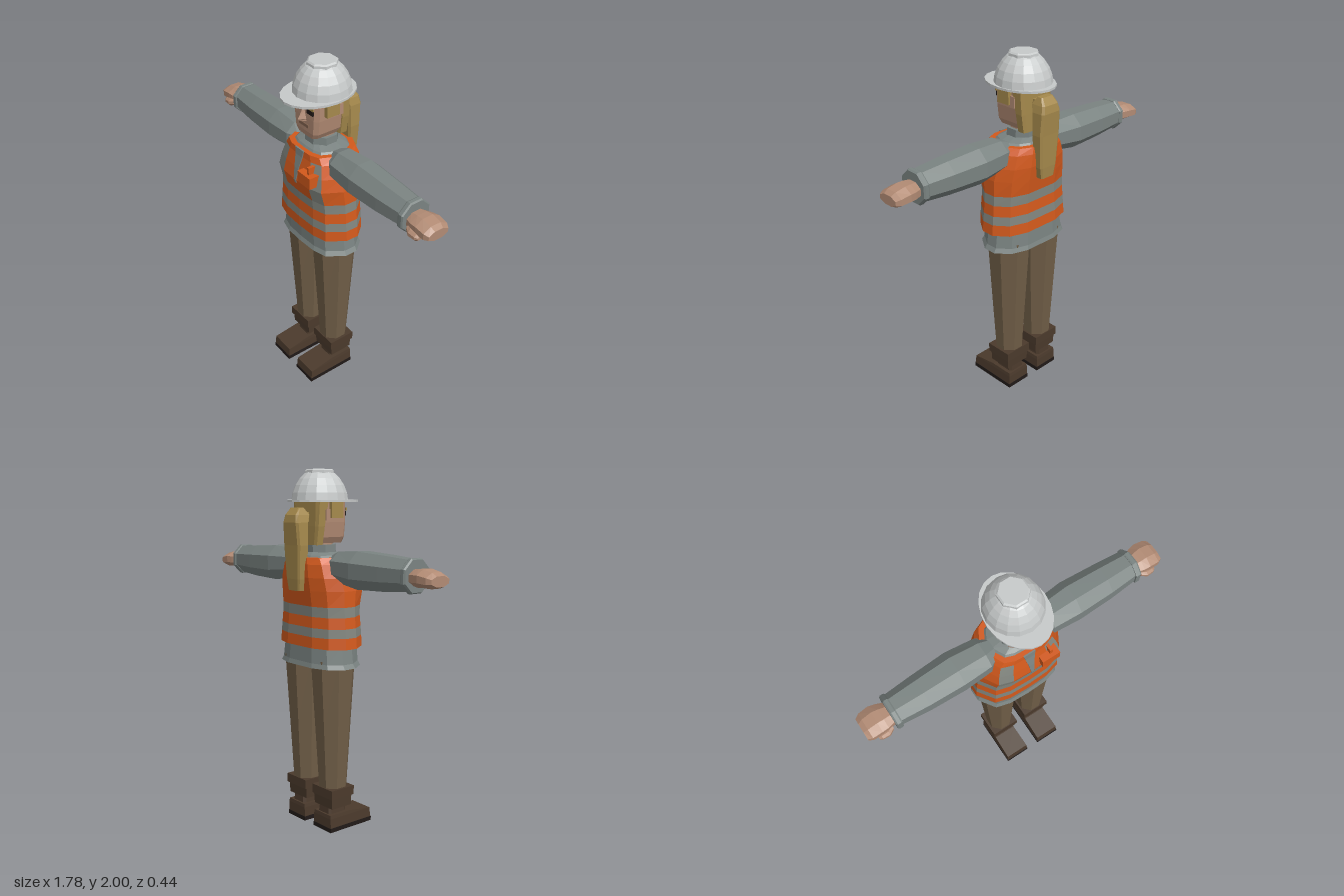
import * as THREE from 'three';

const mat = (name, color) => {
  const m = new THREE.MeshStandardMaterial({ color, flatShading: true });
  m.name = name;
  return m;
};
const M = {
  orange: mat('vest orange', 0xd2591c),
  tape: mat('reflective tape', 0x82867f),
  shirt: mat('shirt grey', 0x7a8381),
  pants: mat('trouser brown', 0x705e47),
  boot: mat('boot brown', 0x4b3a2c),
  dark: mat('near black', 0x211a18),
  hair: mat('blonde', 0xa5894c),
  skin: mat('skin', 0xb28b74),
  mouth: mat('lip brown', 0x836450),
  hat: mat('hat white', 0xc6c9c9),
};

// Closed cross-sections: front centre first, then towards +x, back and -x
const mirrorHalf = (half) =>
  [...half, ...half.slice(1, -1).reverse().map(([u, v]) => [-u, v])];
const circle = (n, turn = 0) => Array.from({ length: n }, (_, i) => {
  const a = (i + turn) / n * Math.PI * 2;
  return [Math.sin(a), Math.cos(a)];
});
const OCT = circle(8, 0.5).map(([u, v]) => [u / Math.cos(Math.PI / 8), v / Math.cos(Math.PI / 8)]);
const BOXY = mirrorHalf([[0, 1], [0.8, 0.98], [1, 0.75], [1, -0.75], [0.8, -1], [0, -1]]);
const SQUARE = [[-1, 1], [1, 1], [1, -1], [-1, -1]];
const BODY = mirrorHalf([[0, 1], [0.45, 0.97], [0.76, 0.82], [1, 0.2], [1, -0.3], [0.78, -0.78], [0.4, -1], [0, -1]]);

// Loft through sections [y, centreX, halfWidth, frontZ, backZ] with flat caps;
// paint(band, column) picks a material index for each side face
function loft(profile, sections, paint) {
  const rings = sections.map(([y, cx, rx, zf, zb]) => profile.map(([u, v]) =>
    [cx + u * rx, y, (zf + zb) / 2 + v * (zf - zb) / 2]));
  const pos = [], geo = new THREE.BufferGeometry(), n = profile.length;
  const add = (index, ...pts) => {
    if (paint) geo.addGroup(pos.length / 3, pts.length, index);
    pts.forEach((p) => pos.push(...p));
  };
  for (let i = 0; i < rings.length - 1; i++) {
    for (let j = 0; j < n; j++) {
      const k = (j + 1) % n;
      const a = rings[i][j], b = rings[i][k], c = rings[i + 1][k], d = rings[i + 1][j];
      add(paint ? paint(i, j) : 0, a, b, c, a, c, d);
    }
  }
  const mid = (s) => [s[1], s[0], (s[3] + s[4]) / 2];
  const last = rings.length - 1;
  for (let j = 0; j < n; j++) {
    const k = (j + 1) % n;
    add(0, mid(sections[last]), rings[last][j], rings[last][k]);
    add(0, mid(sections[0]), rings[0][k], rings[0][j]);
  }
  geo.setAttribute('position', new THREE.Float32BufferAttribute(pos, 3));
  geo.computeVertexNormals();
  return geo;
}

export function createModel() {
  const model = new THREE.Group();
  const put = (name, geo, material, parent = model) => {
    const mesh = new THREE.Mesh(geo, material);
    mesh.name = name;
    parent.add(mesh);
    return mesh;
  };
  // Box given by its lower and upper bounds
  const box = (name, [x0, x1], [y0, y1], [z0, z1], material, parent) =>
    put(name, new THREE.BoxGeometry(x1 - x0, y1 - y0, z1 - z0), material, parent)
      .position.set((x0 + x1) / 2, (y0 + y1) / 2, (z0 + z1) / 2);

  // Vest: two tape bands all round, plus an upright strip on each side of the chest
  const cols = BODY.length;
  put('vest', loft(BODY, [
    [1.05, 0, 0.27, 0.145, -0.157], [1.11, 0, 0.265, 0.144, -0.154],
    [1.16, 0, 0.26, 0.142, -0.152], [1.22, 0, 0.254, 0.138, -0.148],
    [1.275, 0, 0.25, 0.142, -0.15], [1.36, 0, 0.247, 0.165, -0.16],
    [1.43, 0, 0.232, 0.152, -0.167], [1.5, 0, 0.205, 0.135, -0.165],
    [1.535, 0, 0.175, 0.132, -0.158],
  ], (i, j) => (i === 1 || i === 3 || (i > 3 && i < 7 && (j === 1 || j === cols - 2)) ? 1 : 0)),
  [M.orange, M.tape]);
  put('neckOpening', loft(SQUARE, [
    [1.34, 0, 0.006, 0.164, 0.156], [1.36, 0, 0.008, 0.169, 0.161],
    [1.43, 0, 0.016, 0.157, 0.149], [1.5, 0, 0.028, 0.14, 0.132], [1.538, 0, 0.035, 0.136, 0.128],
  ]), M.shirt);
  box('chestPouch', [0.05, 0.155], [1.385, 1.45], [0.12, 0.185], M.orange);
  box('pouchTab', [0.105, 0.122], [1.45, 1.49], [0.12, 0.165], M.orange);

  // Shirt: flared hem, shoulder yoke and collar
  put('shirtHem', loft(BODY, [
    [0.94, 0, 0.262, 0.14, -0.157], [0.965, 0, 0.247, 0.13, -0.15], [1.06, 0, 0.232, 0.13, -0.145],
  ]), M.shirt);
  put('shirtYoke', loft(BODY, [
    [1.52, 0, 0.165, 0.115, -0.14], [1.545, 0, 0.14, 0.095, -0.12], [1.56, 0, 0.085, 0.07, -0.09],
  ]), M.shirt);
  put('collar', loft(OCT, [
    [1.53, 0, 0.088, 0.075, -0.09], [1.6, 0, 0.085, 0.07, -0.09],
  ]), M.shirt);

  for (const s of [1, -1]) {
    const side = s > 0 ? 'left' : 'right';
    // Arm: lofted upright as [x, centreY, halfHeight, frontZ, backZ], then turned outwards
    const arm = new THREE.Group();
    arm.name = side + 'Arm';
    model.add(arm);
    const limb = (name, rows, material) => {
      const rows2 = rows.map(([x, cy, ...rest]) => [x, -s * cy, ...rest]);
      put(name, loft(OCT, rows2).rotateZ(-s * Math.PI / 2), material, arm);
    };
    limb('sleeve', [
      [0.13, 1.5, 0.045, 0.05, -0.07], [0.19, 1.487, 0.082, 0.083, -0.095],
      [0.35, 1.48, 0.098, 0.09, -0.112], [0.55, 1.478, 0.09, 0.083, -0.102],
      [0.71, 1.479, 0.078, 0.07, -0.09],
    ], M.shirt);
    limb('cuff', [
      [0.705, 1.478, 0.082, 0.078, -0.092], [0.712, 1.478, 0.086, 0.08, -0.097],
      [0.73, 1.478, 0.086, 0.08, -0.097], [0.738, 1.478, 0.08, 0.075, -0.09],
    ], M.shirt);
    limb('hand', [
      [0.73, 1.472, 0.04, 0.05, -0.065], [0.775, 1.472, 0.045, 0.062, -0.082],
      [0.81, 1.474, 0.044, 0.064, -0.09], [0.865, 1.467, 0.039, 0.062, -0.086],
      [0.89, 1.464, 0.026, 0.05, -0.072],
    ], M.skin);
    limb('thumb', [
      [0.755, 1.452, 0.018, 0.066, 0.02], [0.785, 1.444, 0.022, 0.083, 0.035],
      [0.825, 1.441, 0.018, 0.08, 0.04], [0.84, 1.441, 0.01, 0.07, 0.045],
    ], M.skin);

    // Leg and boot
    const leg = new THREE.Group();
    leg.name = side + 'Leg';
    model.add(leg);
    put('trouserLeg', loft(OCT, [
      [0.22, s * 0.115, 0.072, 0.063, -0.085], [0.6, s * 0.115, 0.092, 0.085, -0.108],
      [0.98, s * 0.115, 0.11, 0.108, -0.132],
    ]), M.pants, leg);
    put('bootCuff', loft(SQUARE, [
      [0.135, s * 0.115, 0.077, 0.058, -0.08], [0.195, s * 0.115, 0.079, 0.06, -0.084],
      [0.196, s * 0.117, 0.086, 0.07, -0.092], [0.248, s * 0.117, 0.086, 0.07, -0.092],
    ]), M.boot, leg);
    put('ankle', loft(BOXY, [
      [0.07, s * 0.115, 0.055, 0.05, -0.08], [0.14, s * 0.115, 0.047, 0.045, -0.075],
    ]), M.boot, leg);
    put('bootFoot', loft(SQUARE, [
      [0.02, s * 0.117, 0.075, 0.21, -0.09], [0.078, s * 0.117, 0.073, 0.205, -0.09],
      [0.098, s * 0.117, 0.07, 0.055, -0.088],
    ]), M.boot, leg);
    put('sole', loft(SQUARE, [
      [0, s * 0.117, 0.077, 0.213, -0.092], [0.024, s * 0.117, 0.077, 0.213, -0.092],
    ]), M.dark, leg);

    // Eye, brow, ear and side hair
    const span = (a, b) => (s > 0 ? [a, b] : [-b, -a]);
    box(side + 'Eye', span(0.03, 0.08), [1.752, 1.776], [0.1, 0.108], M.dark);
    box(side + 'Brow', span(0.028, 0.085), [1.78, 1.797], [0.102, 0.11], M.hair);
    box(side + 'SideHair', span(0.09, 0.125), [1.742, 1.845], [-0.03, 0.05], M.hair);
    box(side + 'Ear', span(0.09, 0.114), [1.73, 1.79], [-0.06, -0.03], M.skin);
  }
  put('seat', loft(BODY, [
    [0.93, 0, 0.12, 0.05, -0.07], [1.0, 0, 0.2, 0.1, -0.12],
  ]), M.pants);

  // Head
  put('neck', loft(OCT, [[1.54, 0, 0.068, 0.055, -0.075], [1.65, 0, 0.068, 0.055, -0.08]]), M.skin);
  put('head', loft(BOXY, [
    [1.608, 0, 0.072, 0.095, -0.07], [1.64, 0, 0.09, 0.102, -0.085],
    [1.72, 0, 0.1, 0.103, -0.09], [1.845, 0, 0.104, 0.1, -0.09],
  ]), M.skin);
  put('nose', loft([[0, 1], [1, -1], [-1, -1]], [
    [1.7, 0, 0.028, 0.13, 0.09], [1.712, 0, 0.026, 0.142, 0.09], [1.77, 0, 0.007, 0.108, 0.09],
  ]), M.skin);
  box('mouth', [-0.04, 0.04], [1.666, 1.684], [0.1, 0.107], M.mouth);

  // Hair at the back, and the ponytail
  put('backHair', loft(BOXY, [
    [1.6, 0, 0.088, -0.058, -0.11], [1.7, 0, 0.104, -0.055, -0.112], [1.845, 0, 0.112, -0.03, -0.112],
  ]), M.hair);
  box('hairTie', [-0.03, 0.03], [1.725, 1.775], [-0.15, -0.1], M.hair);
  put('ponytail', loft(BOXY, [
    [1.357, 0, 0.046, -0.155, -0.197], [1.42, 0, 0.058, -0.145, -0.203],
    [1.6, 0, 0.07, -0.14, -0.211], [1.72, 0, 0.066, -0.135, -0.22],
    [1.76, 0, 0.056, -0.118, -0.213], [1.797, 0, 0.04, -0.15, -0.185],
  ]), M.hair);

  // Hard hat: domed shell, raised crown and brim with a longer peak
  put('hatShell', loft(circle(16), [
    [1.835, 0, 0.152, 0.145, -0.17], [1.875, 0, 0.146, 0.138, -0.163],
    [1.915, 0, 0.131, 0.122, -0.147], [1.95, 0, 0.108, 0.1, -0.125],
    [1.975, 0, 0.084, 0.076, -0.1], [1.986, 0, 0.07, 0.058, -0.085],
  ]), M.hat);
  put('hatCrown', loft(OCT, [
    [1.975, 0, 0.075, 0.064, -0.09], [1.993, 0, 0.074, 0.062, -0.088], [2.0, 0, 0.066, 0.054, -0.08],
  ]), M.hat);
  put('hatBrim', loft(circle(20), [
    [1.826, 0, 0.16, 0.222, -0.2], [1.838, 0, 0.16, 0.222, -0.2],
  ]), M.hat);
  return model;
}
